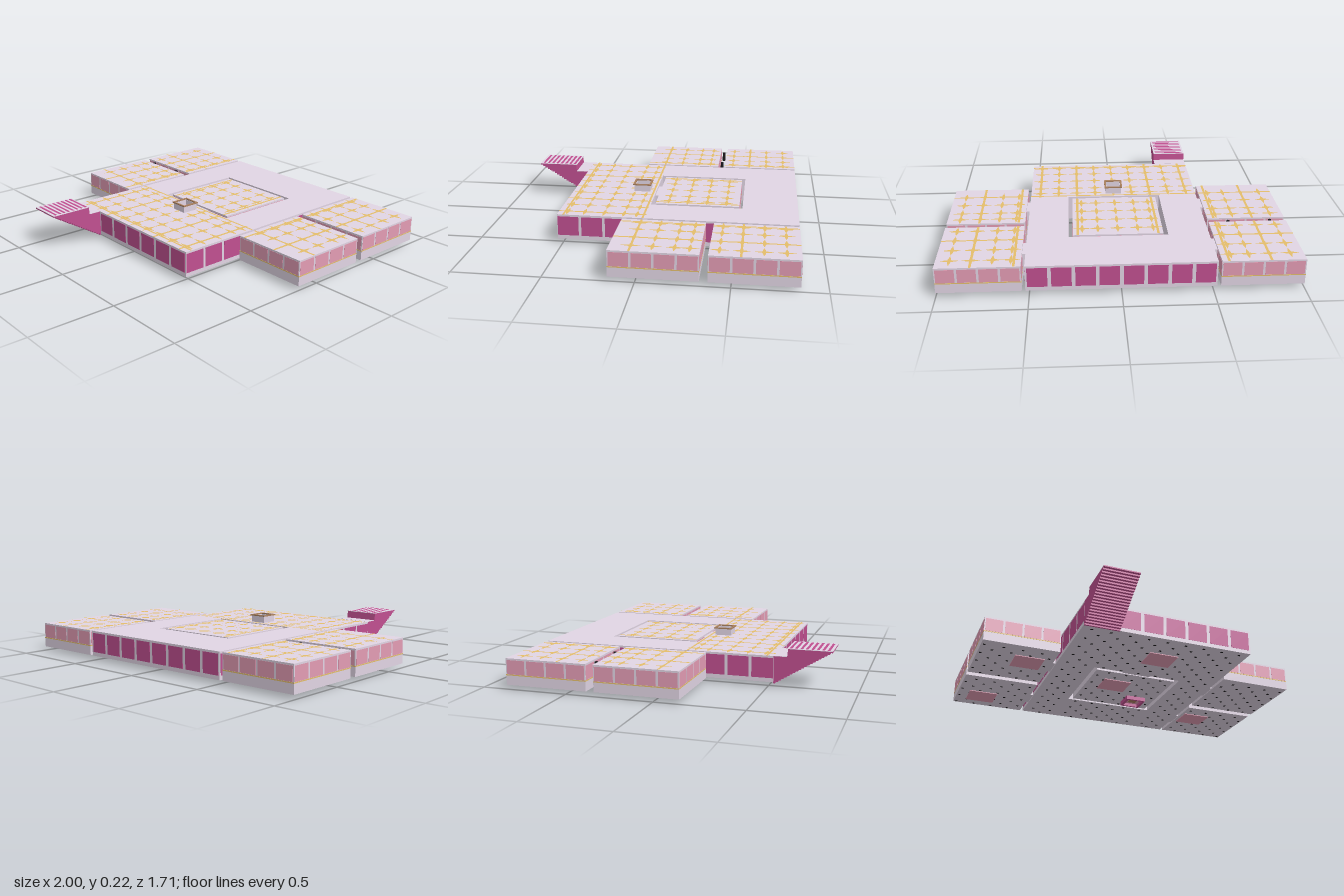
import * as THREE from 'three';
import { mergeGeometries } from 'three/addons/utils/BufferGeometryUtils.js';

const material = (name, color) =>
  Object.assign(new THREE.MeshStandardMaterial({ color }), { name });

const BASE = 0.025, ROOF = 0.175, GRID = 0.1155, GRID_Z = 0.03;

export function createModel() {
  const model = new THREE.Group();
  const lilac = material('pale lilac', 0xe1d5e4);
  const pink = material('dusty pink', 0xe39cb4);
  const magenta = material('magenta', 0xc05090);
  const gold = material('gold', 0xe4be6c);
  const brown = material('brown', 0xac8260);
  const black = material('black', 0x1c1a1e);

  function add(name, geometry, mat, parent = model) {
    const mesh = new THREE.Mesh(geometry, mat);
    mesh.name = name;
    parent.add(mesh);
  }

  // Box given by its minimum and maximum corners
  function box(x0, x1, y0, y1, z0, z1) {
    return new THREE.BoxGeometry(x1 - x0, y1 - y0, z1 - z0)
      .translate((x0 + x1) / 2, (y0 + y1) / 2, (z0 + z1) / 2);
  }

  // Flat strip facing up
  function strip(x0, x1, y, z0, z1) {
    return new THREE.PlaneGeometry(x1 - x0, z1 - z0).rotateX(-Math.PI / 2)
      .translate((x0 + x1) / 2, y, (z0 + z1) / 2);
  }

  // Thin panes in a row along a wall that runs in x or z
  function panes(axis, wall, from, to, count, y0, y1, gap) {
    const step = (to - from) / count, list = [];
    const near = wall - 0.001, far = wall + 0.001;
    for (let i = 0; i < count; i++) {
      const a = from + i * step + gap / 2, b = a + step - gap;
      list.push(axis === 'x' ? box(a, b, y0, y1, near, far) : box(near, far, y0, y1, a, b));
    }
    return list;
  }

  // Grid lines that fall inside a span
  function gridIn(from, to, origin, spacing = GRID) {
    const list = [];
    for (let k = -18; k <= 18; k++) {
      const p = origin + k * spacing;
      if (p > from && p < to) list.push({ k, p });
    }
    return list;
  }

  // Four-pointed star lying flat, with points narrowing to fine tips
  function star(x, z, y) {
    const shape = new THREE.Shape();
    for (let i = 0; i < 16; i++) {
      const a = i * Math.PI / 8;
      const d = [GRID * 0.46, 0.022, 0.013, 0.022][i % 4];
      shape[i ? 'lineTo' : 'moveTo'](Math.cos(a) * d, Math.sin(a) * d);
    }
    return new THREE.ShapeGeometry(shape).rotateX(-Math.PI / 2).translate(x, y, z);
  }

  // Gold roof pattern: stars on the grid and a few full-length bars
  function lattice(parent, x0, x1, z0, z1) {
    const xs = gridIn(x0, x1, 0), zs = gridIn(z0, z1, GRID_Z);
    const bars = [], stars = [];
    for (const { k, p } of xs)
      if ([2, 4, 5, 7].includes(Math.abs(k))) bars.push(strip(p - 0.007, p + 0.007, ROOF + 0.001, z0, z1));
    for (const { k, p } of zs)
      if ([-5, 0, 4].includes(k)) bars.push(strip(x0, x1, ROOF + 0.001, p - 0.006, p + 0.006));
    for (const x of xs) for (const z of zs) {
      const cx = THREE.MathUtils.clamp(x.p, x0 + 0.054, x1 - 0.054);
      const cz = THREE.MathUtils.clamp(z.p, z0 + 0.054, z1 - 0.054);
      stars.push(star(cx, cz, ROOF + 0.0015));
    }
    if (bars.length) add('roofBars', mergeGeometries(bars), gold, parent);
    add('roofStars', mergeGeometries(stars), gold, parent);
  }

  // Small dark fixings under a floor
  function fixings(parent, x0, x1, z0, z1) {
    const list = [], r = 0.007;
    for (const x of gridIn(x0 + r, x1 - r, 0, GRID / 2)) for (const z of gridIn(z0 + r, z1 - r, GRID_Z, GRID / 2))
      if ((x.k + z.k) % 2 === 0) list.push(box(x.p - r, x.p + r, BASE - 0.002, BASE, z.p - r, z.p + r));
    add('floorFixings', mergeGeometries(list), black, parent);
  }

  // Room block: lilac walls, pink upper windows, gold sill, patterned roof
  function room(name, x0, x1, z0, z1) {
    const group = new THREE.Group();
    group.name = name;
    model.add(group);
    add('walls', box(x0, x1, BASE, ROOF, z0, z1), lilac, group);
    add('windows', mergeGeometries([
      ...[z0, z1].flatMap(z => panes('x', z, x0, x1, 4, 0.086, 0.165, 0.013)),
      ...[x0, x1].flatMap(x => panes('z', x, z0, z1, 4, 0.086, 0.165, 0.013)),
    ]), pink, group);
    add('windowSill', box(x0 - 0.001, x1 + 0.001, 0.079, 0.085, z0 - 0.001, z1 + 0.001), gold, group);
    lattice(group, x0, x1, z0, z1);
    fixings(group, x0, x1, z0, z1);
  }

  // Main hall with an open court through its middle
  const points = list => list.map(p => new THREE.Vector2(...p));
  const plan = new THREE.Shape(points([[-0.52, -0.53], [0.52, -0.53], [0.52, 0.855], [-0.52, 0.855]]));
  plan.holes.push(new THREE.Path(points([[-0.285, -0.015], [-0.285, 0.53], [0.285, 0.53], [0.285, -0.015]])));
  add('mainHall', new THREE.ExtrudeGeometry(plan, { depth: ROOF - BASE, bevelEnabled: false })
    .rotateX(-Math.PI / 2).translate(0, BASE, 0), lilac);
  add('hallWindows', mergeGeometries([
    ...panes('x', 0.53, -0.31, 0.52, 6, 0.048, 0.163, 0.02),
    ...panes('x', -0.855, -0.52, 0.52, 8, 0.048, 0.163, 0.02),
    ...[-0.52, 0.52].flatMap(x => panes('z', x, -0.855, 0.535, 10, 0.048, 0.163, 0.016)),
  ]), magenta);
  const hallDetails = new THREE.Group();
  hallDetails.name = 'hallDetails';
  model.add(hallDetails);
  lattice(hallDetails, -0.52, 0.52, 0.016, 0.53);
  fixings(hallDetails, -0.52, 0.52, 0.016, 0.53);
  fixings(hallDetails, -0.52, -0.285, -0.855, 0.016);
  fixings(hallDetails, 0.285, 0.52, -0.855, 0.016);
  fixings(hallDetails, -0.285, 0.285, -0.855, -0.53);

  // Court room and its link to the hall
  room('courtRoom', -0.26, 0.26, -0.51, -0.01);
  add('courtLink', box(-0.09, 0.09, 0.03, 0.165, -0.01, 0.015), lilac);

  // Side rooms and their links, mirrored
  for (const s of [-1, 1]) {
    const side = s > 0 ? 'left' : 'right';
    const [x0, x1] = s > 0 ? [0.54, 1] : [-1, -0.54];
    room(side + 'BackRoom', x0, x1, -0.855, -0.38);
    room(side + 'FrontRoom', x0, x1, -0.335, 0.145);
    const [l0, l1] = s > 0 ? [0.52, 0.54] : [-0.54, -0.52];
    for (const z of [-0.7, -0.16])
      add(side + 'Link', box(l0, l1, 0.03, 0.165, z, z + 0.13), lilac);
  }

  // Entrance: finely stepped underside, raised flat top
  const outline = [[0.53, 0.02]], STEPS = 20;
  for (let i = 0; i < STEPS; i++) {
    const z = 0.54 + i * 0.315 / STEPS, y = 0.02 + i * 0.192 / STEPS;
    outline.push([z, y], [z, y + 0.192 / STEPS]);
  }
  outline.push([0.855, 0.212], [0.855, 0.219], [0.61, 0.219], [0.605, 0.174], [0.53, 0.174]);
  add('entrance', new THREE.ExtrudeGeometry(new THREE.Shape(points(outline)), { depth: 0.21, bevelEnabled: false })
    .rotateY(-Math.PI / 2).translate(-0.31, 0, 0), magenta);
  add('entranceTop', box(-0.52, -0.31, 0.219, 0.221, 0.605, 0.855), lilac);
  add('entranceStep', box(-0.52, -0.31, 0.174, 0.176, 0.53, 0.606), lilac);
  const slats = [];
  for (let i = 0; i < 8; i++)
    slats.push(strip(-0.51, -0.32, 0.222, 0.615 + i * 0.03, 0.63 + i * 0.03));
  add('entranceSlats', mergeGeometries(slats), magenta);

  // Square open frame used for the roof vent and the floor hatch
  function frame(x, z, outer, inner, y0, y1) {
    const o = outer / 2, i = inner / 2;
    return mergeGeometries([
      box(x - o, x + o, y0, y1, z - o, z - i), box(x - o, x + o, y0, y1, z + i, z + o),
      box(x - o, x - i, y0, y1, z - i, z + i), box(x + i, x + o, y0, y1, z - i, z + i),
    ]);
  }
  add('ventWalls', frame(0, 0.103, 0.1, 0.086, ROOF, 0.215), lilac);
  add('ventRim', frame(0, 0.103, 0.112, 0.09, 0.215, 0.222), brown);
  add('ventFloor', box(-0.043, 0.043, ROOF, 0.181, 0.06, 0.146), pink);
  add('hatchSkirt', frame(0.125, -0.393, 0.128, 0.1, 0, BASE), magenta);
  add('hatchPanel', box(0.075, 0.175, 0.019, BASE, -0.443, -0.343), pink);
  add('hatchCentre', box(0.1, 0.15, 0.016, 0.019, -0.418, -0.368), brown);

  // Floor panels underneath
  for (const [x, z] of [[-0.69, -0.065], [0.65, -0.57], [-0.08, -0.2], [0.045, 0.26], [-0.84, -0.7]])
    add('floorPanel', box(x - 0.09, x + 0.09, BASE - 0.004, BASE, z - 0.08, z + 0.08), pink);

  // Small posts between the right-hand rooms
  for (const x of [-0.91, -0.66])
    add('post', new THREE.CylinderGeometry(0.01, 0.01, 0.06, 8).translate(x, 0.14, -0.357), black);

  return model;
}
